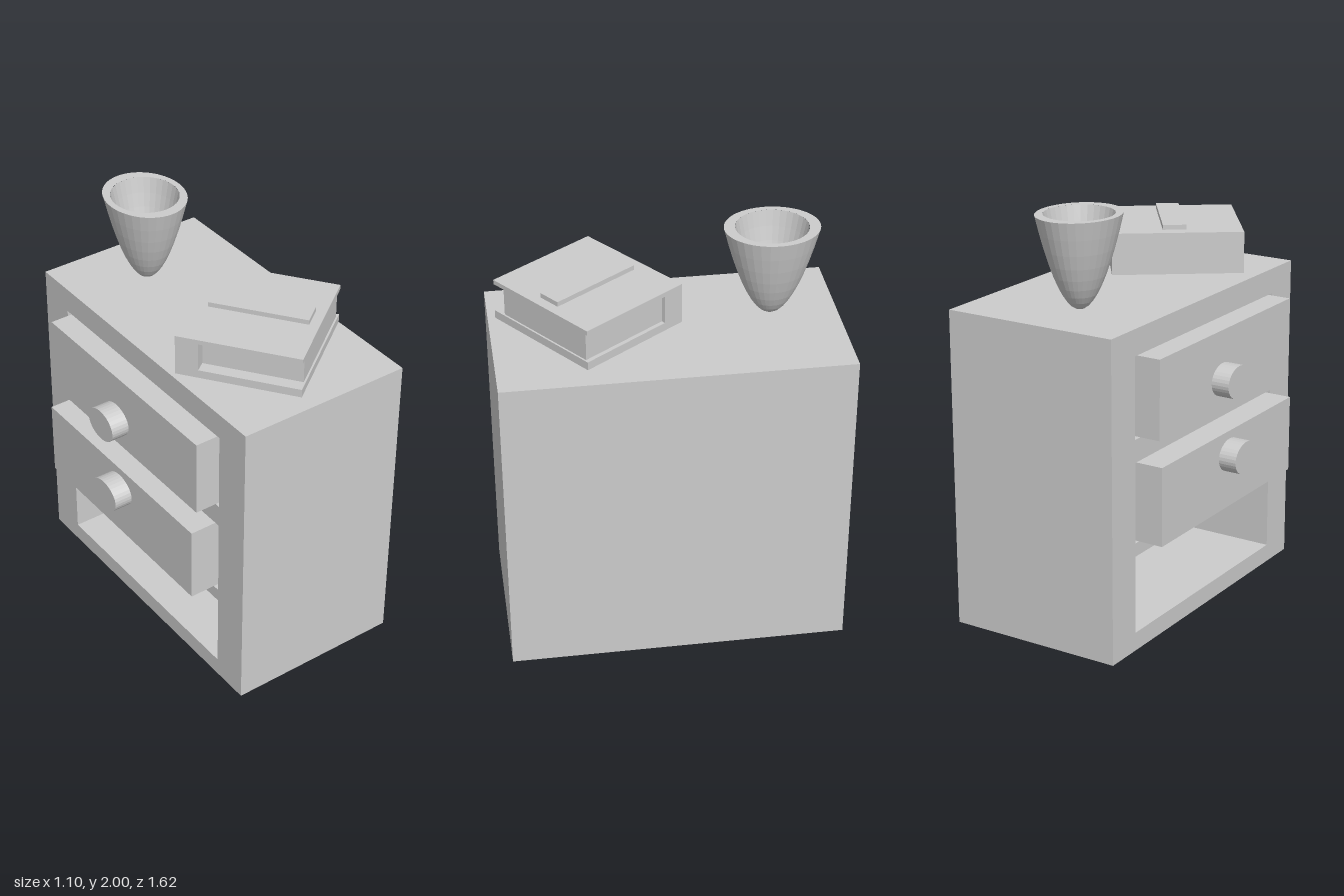
import * as THREE from 'three';

const mat = new THREE.MeshStandardMaterial({ color: 0xcccccc, flatShading: true });

function add(parent, name, geometry, x = 0, y = 0, z = 0) {
  const mesh = new THREE.Mesh(geometry, mat);
  mesh.name = name;
  mesh.position.set(x, y, z);
  parent.add(mesh);
  return mesh;
}

// Box given by its minimum and maximum corners
function addBox(parent, name, [x0, y0, z0], [x1, y1, z1]) {
  return add(parent, name, new THREE.BoxGeometry(x1 - x0, y1 - y0, z1 - z0),
    (x0 + x1) / 2, (y0 + y1) / 2, (z0 + z1) / 2);
}

function rectangle(path, x0, y0, x1, y1) {
  path.moveTo(x0, y0).lineTo(x1, y0).lineTo(x1, y1).lineTo(x0, y1).closePath();
  return path;
}

// Cabinet: a frame with three compartments open to -x, closed by a back panel
function createCabinet() {
  const cabinet = new THREE.Group();
  cabinet.name = 'cabinet';
  const face = rectangle(new THREE.Shape(), -0.81, 0, 0.81, 1.55);
  for (const [y0, y1] of [[0.09, 0.47], [0.535, 0.925], [1.035, 1.425]]) {
    face.holes.push(rectangle(new THREE.Path(), -0.62, y0, 0.62, y1));
  }
  const frame = new THREE.ExtrudeGeometry(face, { depth: 0.78, bevelEnabled: false });
  frame.rotateY(-Math.PI / 2);
  add(cabinet, 'cabinetFrame', frame, 0.45);
  addBox(cabinet, 'cabinetBackPanel', [0.45, 0, -0.81], [0.55, 1.55, 0.81]);
  return cabinet;
}

// Drawer pulled out to x = front, with an oval knob
function createDrawer(name, front, y0, z, knobY, knobZ) {
  const drawer = new THREE.Group();
  drawer.name = name;
  addBox(drawer, 'drawerBox', [front, y0, z - 0.595], [front + 0.85, y0 + 0.38, z + 0.595]);
  const knob = new THREE.CylinderGeometry(1, 1, 0.09, 32);
  knob.rotateZ(Math.PI / 2);
  knob.scale(1, 0.079, 0.1);
  add(drawer, 'knob', knob, front - 0.045, knobY, knobZ);
  return drawer;
}

// Vase: a hollow paraboloid, oval in plan, whose wall is thicker along z
function createVase() {
  const vase = new THREE.Group();
  vase.name = 'vase';
  vase.position.set(0.045, 1.555, -0.495);
  const profile = (bottom, top, steps = 10) => Array.from({ length: steps + 1 }, (_, i) => {
    const t = i / steps;
    return new THREE.Vector2(t, bottom + (top - bottom) * t * t);
  });
  const height = 0.445;
  const outer = new THREE.LatheGeometry(profile(0, height), 32);
  outer.scale(0.19, 1, 0.222);
  add(vase, 'vaseOutside', outer);
  const inner = new THREE.LatheGeometry(profile(0.05, height).reverse(), 32);
  inner.scale(0.16, 1, 0.17);
  add(vase, 'vaseInside', inner);
  // Flat rim between the two ovals
  const rimShape = new THREE.Shape().absellipse(0, 0, 0.19, 0.222, 0, Math.PI * 2);
  rimShape.holes.push(new THREE.Path().absellipse(0, 0, 0.16, 0.17, 0, Math.PI * 2));
  const rim = new THREE.ShapeGeometry(rimShape, 32);
  rim.rotateX(-Math.PI / 2);
  add(vase, 'vaseRim', rim, 0, height);
  return vase;
}

// Book: two covers, a spine at the rear, recessed pages and a raised strip on top
function createBook() {
  const book = new THREE.Group();
  book.name = 'book';
  book.position.set(0.078, 1.6, 0.357);
  book.rotation.y = 0.633;
  addBox(book, 'bottomCover', [-0.313, 0, -0.292], [0.313, 0.04, 0.292]);
  addBox(book, 'topCover', [-0.313, 0.178, -0.292], [0.313, 0.2, 0.292]);
  addBox(book, 'spine', [-0.313, 0.04, -0.292], [0.313, 0.178, -0.184]);
  addBox(book, 'pages', [-0.254, 0.04, -0.184], [0.293, 0.178, 0.283]);
  addBox(book, 'coverStrip', [-0.044, 0.2, -0.226], [0.068, 0.223, 0.243]);
  return book;
}

export function createModel() {
  const model = new THREE.Group();
  model.name = 'bedsideCabinet';
  model.add(
    createCabinet(),
    createDrawer('upperDrawer', -0.44, 1.04, 0.005, 1.182, -0.04),
    createDrawer('lowerDrawer', -0.46, 0.54, -0.005, 0.802, 0),
    createVase(),
    createBook(),
  );
  return model;
}
